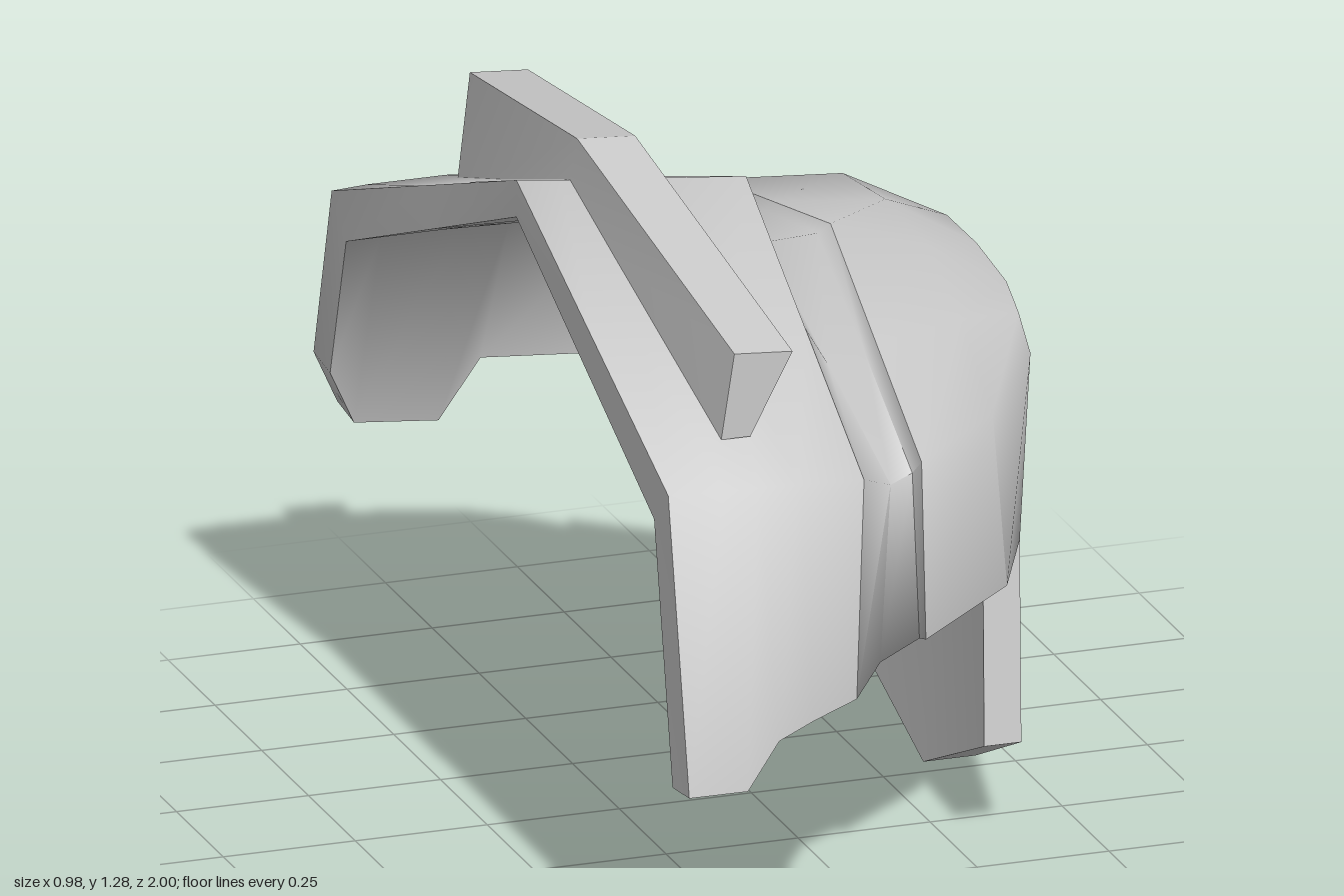
import * as THREE from 'three';
import { toCreasedNormals } from 'three/addons/utils/BufferGeometryUtils.js';

const greyMetal = new THREE.MeshStandardMaterial({ color: 0xc8c8c8 });
greyMetal.name = 'greyMetal';

function meshFrom(name, triangles, crease) {
  const geometry = new THREE.BufferGeometry();
  geometry.setAttribute('position', new THREE.Float32BufferAttribute(triangles.flat(), 3));
  const mesh = new THREE.Mesh(toCreasedNormals(geometry, crease), greyMetal);
  mesh.name = name;
  return mesh;
}

// Skins closed rings of an even number of points, with optional flat ends
function loft(name, rings, crease, capStart, capEnd) {
  const tris = [];
  const quad = (a, b, c, d) => tris.push(a, b, c, a, c, d);
  const n = rings[0].length;
  for (let s = 0; s < rings.length - 1; s++) {
    for (let i = 0; i < n; i++) {
      const j = (i + 1) % n;
      quad(rings[s][i], rings[s + 1][i], rings[s + 1][j], rings[s][j]);
    }
  }
  const first = rings[0], last = rings[rings.length - 1];
  for (let i = 0; i < n / 2 - 1; i++) {
    if (capStart) quad(first[i], first[i + 1], first[n - 2 - i], first[n - 1 - i]);
    if (capEnd) quad(last[n - 1 - i], last[n - 2 - i], last[i + 1], last[i]);
  }
  return meshFrom(name, tris, crease);
}

// Arch from front hem over the crest to back hem, with an inner wall below it
function arch(frontHem, frontCorner, crest, backCorner, backHem, bulge = 0) {
  const mid = (a, b) => a.map((v, k) => (v + b[k]) / 2 + (k === 1 ? bulge : 0));
  const outer = [frontHem, frontCorner, mid(frontCorner, crest), crest,
    mid(crest, backCorner), backCorner, backHem];
  const inner = outer.map(([x, y, z], i) =>
    [x, i === 0 || i === 6 ? y - 0.01 : y - 0.07, z * 0.91]);
  return [...outer, ...inner.reverse()];
}

export function createModel() {
  const group = new THREE.Group();
  group.name = 'shoulderArmour';

  // Rings shared by neighbouring parts
  const collarEnd = arch([-0.105, 0.488, 0.86], [-0.07, 0.88, 0.8], [-0.01, 1.175, 0],
    [0.01, 0.89, -0.82], [0, 0.59, -0.83]);
  const domeStart = arch([0.095, 0.51, 0.665], [0.085, 0.85, 0.67], [0.15, 1.065, 0],
    [0.175, 0.91, -0.69], [0.17, 0.56, -0.72]);
  const domeEnd = arch([0.395, 0.545, 0.32], [0.44, 0.87, 0.25], [0.483, 0.915, 0],
    [0.48, 0.935, -0.31], [0.41, 0.615, -0.6], 0.01);

  // Wide collar with a small tab at each hem
  group.add(loft('collar', [
    arch([-0.47, 0.39, 0.995], [-0.455, 0.91, 0.84], [-0.445, 1.22, 0],
      [-0.49, 0.91, -0.86], [-0.48, 0.56, -0.985]),
    arch([-0.35, 0.38, 0.97], [-0.35, 0.905, 0.84], [-0.36, 1.21, 0],
      [-0.42, 0.91, -0.87], [-0.43, 0.455, -1]),
    arch([-0.28, 0.457, 0.94], [-0.28, 0.9, 0.83], [-0.27, 1.2, 0],
      [-0.27, 0.91, -0.87], [-0.27, 0.44, -1]),
    arch([-0.2, 0.472, 0.9], [-0.2, 0.893, 0.82], [-0.18, 1.192, 0],
      [-0.18, 0.905, -0.865], [-0.2, 0.56, -0.97]),
    collarEnd,
  ], 1.2, true, false));

  // Recessed band between collar and dome
  group.add(loft('recessedBand', [
    collarEnd,
    arch([0, 0.487, 0.69], [0.03, 0.81, 0.66], [0.025, 1.045, 0],
      [0.1, 0.87, -0.77], [0.1, 0.57, -0.77]),
    arch([0.088, 0.508, 0.65], [0.078, 0.82, 0.64], [0.125, 1.05, 0],
      [0.165, 0.9, -0.67], [0.163, 0.56, -0.69]),
    domeStart,
  ], 1.45, false, false));

  // Rounded outer dome
  group.add(loft('dome', [
    domeStart,
    arch([0.3, 0.538, 0.52], [0.28, 0.86, 0.5], [0.335, 1.0, 0],
      [0.35, 0.965, -0.5], [0.34, 0.575, -0.69], 0.02),
    domeEnd,
  ], 1.2, false, false));

  // Outer face closing the dome and running down into the hanging pointed plate
  const rim = [domeEnd[0], [0.375, 0.185, 0.385], [0.443, 0.002, -0.05],
    [0.4, 0.21, -0.6], [0.43, 0.63, -0.44], ...domeEnd.slice(1, 7).reverse()];
  const centre = [0.487, 0.75, -0.05];
  const inward = ([x, y, z]) => [x - Math.max(0.07, 0.1 - 0.16 * y), y, z];
  const plate = [];
  rim.forEach((a, i) => {
    const b = rim[(i + 1) % rim.length], c = inward(a), d = inward(b);
    plate.push(centre, a, b, inward(centre), d, c);
    if (i < 5) plate.push(a, c, d, a, d, b);
  });
  group.add(meshFrom('hangingPlate', plate, 0.7));

  // Chevron fin along the collar: top right, top left, bottom left, bottom right
  const finRing = (z, x, top, bottom) => [[x + 0.055, top - 0.008, z], [x - 0.055, top, z],
    [x - 0.08, bottom, z], [x - 0.025, bottom, z]];
  group.add(loft('fin', [
    finRing(0.7, -0.225, 1.11, 0.95),
    finRing(0, -0.275, 1.285, 1.14),
    finRing(-0.7, -0.23, 1.165, 0.95),
  ], 0.3, true, true));

  return group;
}
